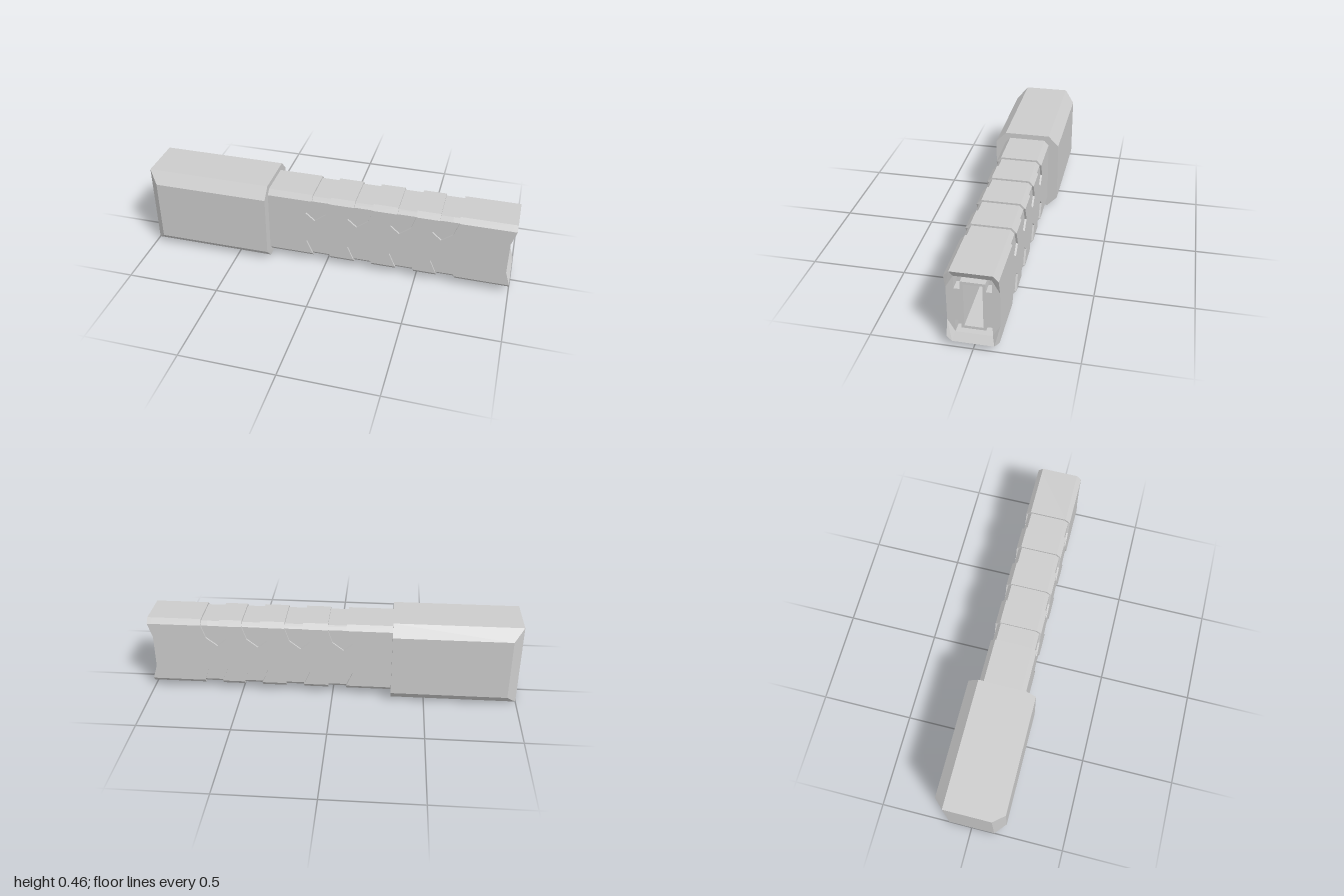
import * as THREE from 'three';
import { ConvexGeometry } from 'three/addons/geometries/ConvexGeometry.js';

const MID = 0.229; // height of the grip's centre line

export function createModel() {
  const root = new THREE.Group();
  const material = new THREE.MeshStandardMaterial({ color: 0xcccccc, flatShading: true });

  const add = (name, geometry) => {
    const mesh = new THREE.Mesh(geometry, material);
    mesh.name = name;
    root.add(mesh);
    return mesh;
  };
  const outline = (points) => points.map(([a, b]) => new THREE.Vector2(a, b));
  const flipY = ([a, b, c]) => [a, 2 * MID - b, c];

  // Extrudes a (z, y) profile along x
  const alongX = (points, holes, x0, x1) => {
    const shape = new THREE.Shape(outline(points));
    holes.forEach((h) => shape.holes.push(new THREE.Path(outline(h))));
    return new THREE.ExtrudeGeometry(shape, { depth: x1 - x0, bevelEnabled: false })
      .rotateY(Math.PI / 2).translate(x0, 0, 0);
  };
  const hull = (points) => new ConvexGeometry(points.map((p) => new THREE.Vector3(...p)));

  // Head block: chamfered box whose sides taper into a rectangular end
  const headPoints = [];
  for (const s of [-1, 1]) {
    for (const y of [0, 0.456]) {
      headPoints.push([-1, y, s * 0.125], [-0.32, y, s * 0.125]);
    }
    for (const y of [0.058, 0.398]) {
      headPoints.push([-0.945, y, s * 0.181], [-0.32, y, s * 0.181]);
    }
  }
  add('headBlock', hull(headPoints));

  // Grip core, set slightly below the outer skin so it forms the notch floors
  const core = [
    [0.115, 0.396], [0.096, 0.417], [-0.096, 0.417], [-0.115, 0.396],
    [-0.115, 0.062], [-0.096, 0.041], [0.096, 0.041], [0.115, 0.062],
  ];
  const socket = [[-0.045, 0.112], [0.045, 0.112], [0.045, 0.346], [-0.045, 0.346]];
  const slot = [
    [-0.088, 0.387], [0.088, 0.387], [0.088, 0.318], [0.06, 0.318],
    [0.058, 0.36], [-0.058, 0.36], [-0.06, 0.318], [-0.088, 0.318],
  ];
  add('gripCore', alongX(core, [], -0.34, 0.675));
  add('socketWalls', alongX(core, [socket], 0.675, 0.92));
  add('socketFace', alongX(core, [socket, slot, slot.map(flipY)], 0.92, 0.975));

  // Top and bottom ridges between the notches
  const notches = [-0.075, 0.157, 0.388, 0.61];
  const notchWidth = 0.099;
  const ridge = [[0.125, 0.4], [0.1, 0.427], [-0.1, 0.427], [-0.125, 0.4]];
  const starts = [-0.33, ...notches.map((x) => x + notchWidth)];
  const ends = [...notches, 0.975];
  starts.forEach((x0, i) => {
    add('topRidge', alongX(ridge, [], x0, ends[i]));
    add('bottomRidge', alongX(ridge.map(flipY), [], x0, ends[i]));
  });

  // Side skins with pointed notches cut into both long edges
  const notchShape = [[0, 0.4], [-0.035, 0.32], [0.014, 0.278], [0.075, 0.326], [notchWidth, 0.4]];
  const topEdge = [[-0.33, 0.4]];
  notches.forEach((x) => notchShape.forEach(([dx, y]) => topEdge.push([x + dx, y])));
  topEdge.push([0.975, 0.4]);
  const skin = new THREE.Shape(outline([...topEdge, ...topEdge.map(flipY).reverse()]));
  for (const [name, z] of [['frontSkin', 0.115], ['backSkin', -0.125]]) {
    add(name, new THREE.ExtrudeGeometry(skin, { depth: 0.01, bevelEnabled: false }).translate(0, 0, z));
  }

  // Flared lips above and below the socket opening
  const lipMiddle = [];
  for (const s of [-1, 1]) {
    lipMiddle.push([1, 0.427, s * 0.1], [0.975, 0.427, s * 0.1], [0.975, 0.387, s * 0.088]);
  }
  const lipCorner = (s) => [
    [1, 0.427, s * 0.1], [0.975, 0.427, s * 0.1], [1, 0.4, s * 0.125],
    [0.975, 0.4, s * 0.125], [0.975, 0.32, s * 0.125], [0.975, 0.387, s * 0.088],
  ];
  for (const points of [lipMiddle, lipCorner(1), lipCorner(-1)]) {
    add('topLip', hull(points));
    add('bottomLip', hull(points.map(flipY)));
  }

  return root;
}
